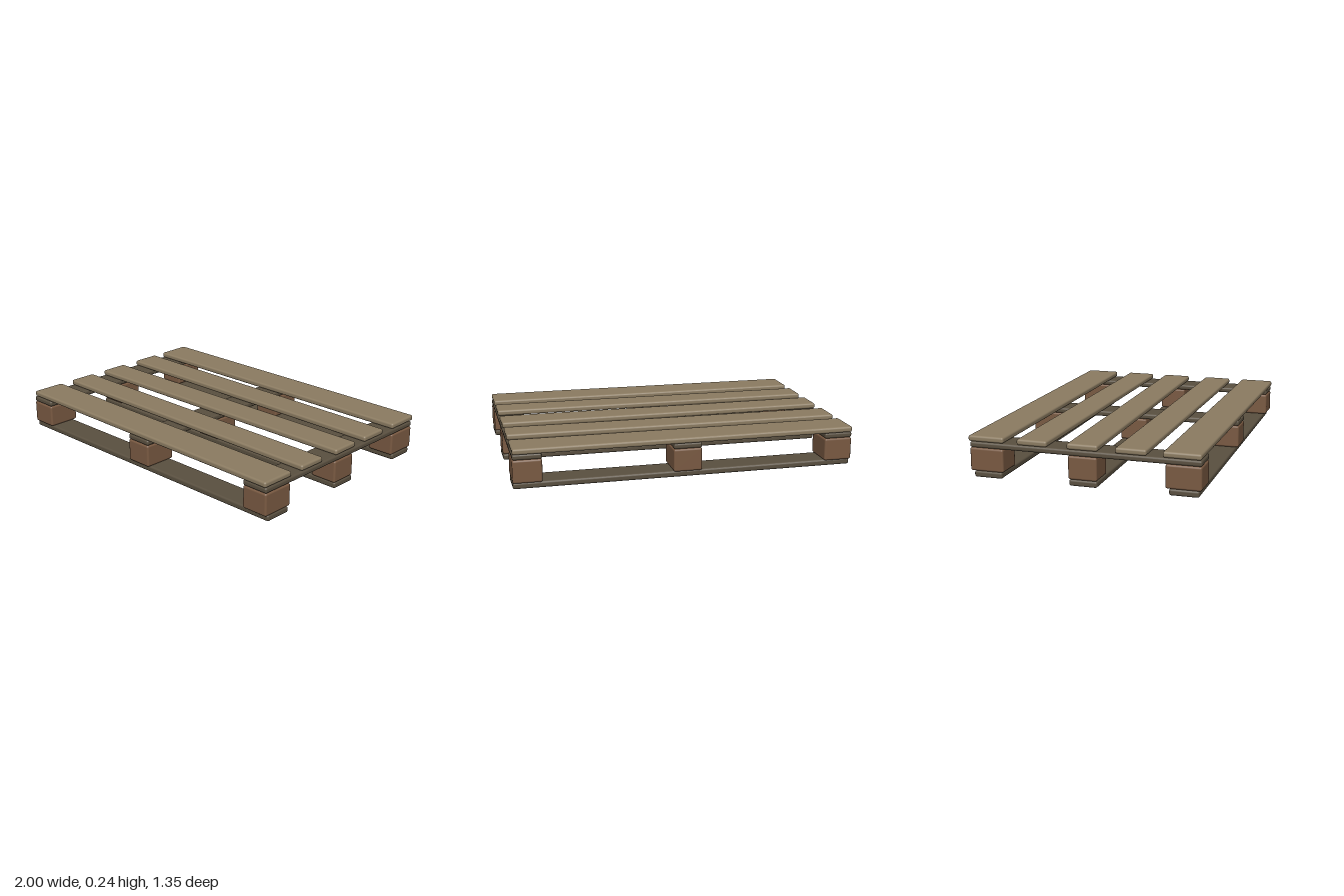
import * as THREE from 'three';
import { RoundedBoxGeometry } from 'three/addons/geometries/RoundedBoxGeometry.js';

const paint = (color) => new THREE.MeshStandardMaterial({ color });

export function createModel() {
  const pallet = new THREE.Group();
  pallet.name = 'pallet';
  const deckWood = paint(0x8c7c62);
  const baseWood = paint(0x5a5040);
  const blockWood = paint(0x7a5a42);

  // One softened timber; skew is how far its +x end drifts in z
  function timber(name, size, position, material, skew = 0) {
    const mesh = new THREE.Mesh(new RoundedBoxGeometry(...size, 2, 0.012), material);
    mesh.name = name;
    mesh.position.set(...position);
    mesh.rotation.y = -skew / size[0];
    pallet.add(mesh);
  }

  const thick = 0.034;
  const columns = [-0.915, 0, 0.915];

  // Top deck: five slats, laid slightly askew [z, width, skew]
  const slats = [
    [-0.57, 0.212, -0.004],
    [-0.288, 0.178, 0.014],
    [-0.008, 0.178, -0.012],
    [0.278, 0.176, 0.01],
    [0.56, 0.212, 0.009],
  ];
  for (const [z, width, skew] of slats) {
    timber('deckSlat', [1.995, thick, width], [0, 0.221, z], deckWood, skew);
  }

  // Cross boards under the deck
  for (const x of columns) {
    timber('crossBoard', [0.167, thick, 1.33], [x, 0.187, 0], baseWood);
  }

  // Three rows: blocks standing on a bottom runner [block z, depth, runner z, width, skew]
  const rows = [
    [-0.565, 0.2, -0.563, 0.168, -0.009],
    [0, 0.166, 0, 0.162, -0.007],
    [0.565, 0.2, 0.565, 0.166, -0.008],
  ];
  for (const [z, depth, runnerZ, width, skew] of rows) {
    for (const x of columns) {
      timber('block', [0.167, 0.134, depth], [x, 0.103, z], blockWood);
    }
    timber('bottomRunner', [1.995, 0.037, width], [0, 0.0185, runnerZ], baseWood, skew);
  }

  return pallet;
}
